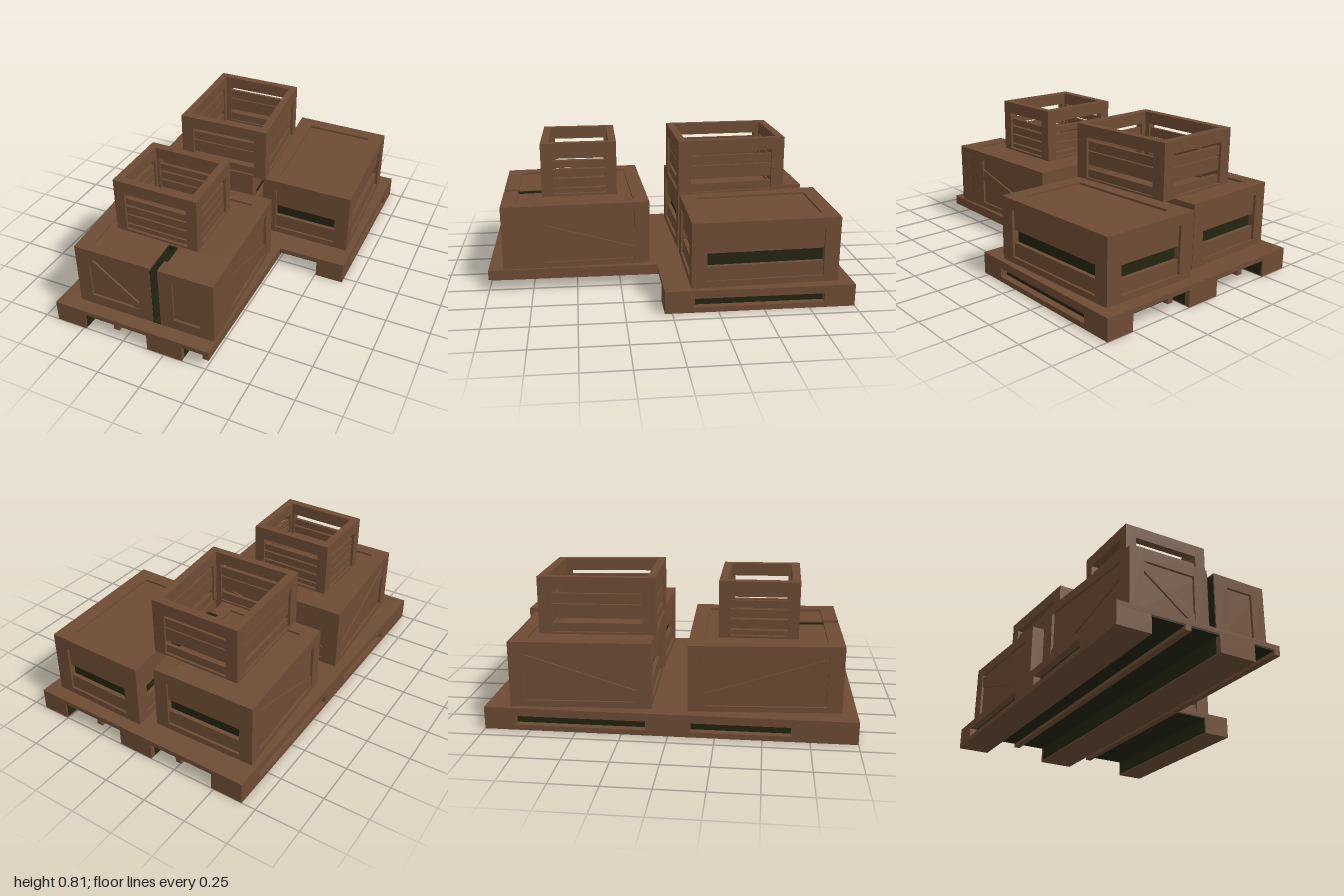
import * as THREE from 'three';

const wood = new THREE.MeshStandardMaterial({ color: 0x6e4c35 });
wood.name = 'brown wood';
const dark = new THREE.MeshStandardMaterial({ color: 0x23240f });
dark.name = 'dark gaps';

// Axis-aligned board given by its limits
function board(parent, name, x0, x1, y0, y1, z0, z1, mat = wood) {
  const mesh = new THREE.Mesh(new THREE.BoxGeometry(x1 - x0, y1 - y0, z1 - z0), mat);
  mesh.position.set((x0 + x1) / 2, (y0 + y1) / 2, (z0 + z1) / 2);
  mesh.name = name;
  parent.add(mesh);
}

// Crate frame of reference: a slightly crooked footprint.
// corners: back left, back right, front right, front left as [x, z]
function crateTools(group, corners, y0, y1) {
  const [a, b, c, e] = corners;
  const w = c[0] - e[0], d = e[1] - a[1], h = y1 - y0;
  const place = (x, z, i) => {
    const u = x / w, v = z / d;
    return (a[i] * (1 - u) + b[i] * u) * (1 - v) + (e[i] * (1 - u) + c[i] * u) * v;
  };
  const add = (geo, name, mat) => {
    const g = geo.toNonIndexed(), p = g.attributes.position;
    for (let i = 0; i < p.count; i++) {
      const x = p.getX(i), z = p.getZ(i);
      p.setXYZ(i, place(x, z, 0), y0 + p.getY(i), place(x, z, 1));
    }
    g.computeVertexNormals();
    const mesh = new THREE.Mesh(g, mat);
    mesh.name = name;
    group.add(mesh);
  };
  const box = (name, x0, x1, b0, b1, z0, z1, mat = wood) =>
    add(new THREE.BoxGeometry(x1 - x0, b1 - b0, z1 - z0)
      .translate((x0 + x1) / 2, (b0 + b1) / 2, (z0 + z1) / 2), name, mat);
  // Board on a wall: s runs left to right seen from outside, t runs inwards,
  // rise shears the board into a diagonal. Sides: 0 front, 1 +x, 2 back, 3 -x
  const wall = (side, name, s0, s1, b0, b1, t0, t1, mat = wood, rise = 0) => {
    const geo = new THREE.BoxGeometry(s1 - s0, b1 - b0, t1 - t0)
      .translate((s0 + s1) / 2, (b0 + b1) / 2, -(t0 + t1) / 2);
    const p = geo.attributes.position;
    for (let i = 0; i < p.count; i++) {
      const s = p.getX(i), t = -p.getZ(i);
      const y = p.getY(i) + rise * (s - s0) / (s1 - s0);
      const [x, z] = [[s, d - t], [w - t, d - s], [w - s, t], [t, s]][side];
      p.setXYZ(i, x, y, z);
    }
    add(geo, name, mat);
  };
  return { w, d, h, box, wall, length: (side) => (side % 2 ? d : w) };
}

// Framed rectangle on one wall
function frame(k, side, s0, s1, post, bottom, top, t) {
  k.wall(side, 'cornerPost', s0, s0 + post, 0, k.h, 0, t);
  k.wall(side, 'cornerPost', s1 - post, s1, 0, k.h, 0, t);
  k.wall(side, 'bottomRail', s0 + post, s1 - post, 0, bottom, 0, t);
  k.wall(side, 'topRail', s0 + post, s1 - post, k.h - top, k.h, 0, t);
}

// Wall filling of a closed crate: a slit between planks, a diagonal brace, or plain
function fillWall(k, side, kind, post) {
  const L = k.length(side), s0 = post, s1 = L - post;
  if (kind === 'slit') {
    k.wall(side, 'darkSlit', s0, s1, 0.115, 0.19, 0.038, 0.042, dark);
    k.wall(side, 'lowerPlank', s0, s1, 0.01, 0.115, 0.014, 0.045);
    k.wall(side, 'upperPlank', s0, s1, 0.19, k.h - 0.03, 0.014, 0.045);
  } else if (kind === 'down') {
    k.wall(side, 'brace', s0, s1, k.h - 0.14, k.h - 0.07, 0.004, 0.02, wood, -k.h + 0.17);
  } else if (kind === 'up') {
    k.wall(side, 'brace', s0, s1, 0.03, 0.1, 0.004, 0.02, wood, k.h - 0.17);
  }
}

function lid(k, m) {
  const { w, d, h } = k;
  k.box('lidEdge', 0, m, h - 0.03, h, 0, d);
  k.box('lidEdge', w - m, w, h - 0.03, h, 0, d);
  k.box('lidEdge', m, w - m, h - 0.03, h, 0, m);
  k.box('lidEdge', m, w - m, h - 0.03, h, d - m, d);
}

function closedCrate(name, corners, y0, y1, kinds, post) {
  const g = new THREE.Group();
  g.name = name;
  const k = crateTools(g, corners, y0, y1);
  k.box('crateBody', 0.04, k.w - 0.04, 0, k.h - 0.012, 0.04, k.d - 0.04);
  kinds.forEach((kind, side) => {
    const L = k.length(side);
    frame(k, side, 0, L, post, 0.035, 0.06, 0.045);
    if (kind !== 'slit') k.wall(side, 'panel', post, L - post, 0.03, k.h - 0.05, 0.014, 0.045);
    fillWall(k, side, kind, post);
  });
  lid(k, 0.085);
  return g;
}

// Large front crate whose front is split by a narrow dark gap
function splitCrate(name, corners, y0, y1) {
  const g = new THREE.Group();
  g.name = name;
  const k = crateTools(g, corners, y0, y1), { w, d, h } = k;
  const gap0 = 0.455, gap1 = 0.5, depth = 0.23, m = 0.085;
  k.box('crateBody', 0.014, w - 0.014, 0, h - 0.012, 0.014, d - depth);
  for (const [a, b] of [[0, gap0], [gap1, w]]) {
    k.box('frontHalf', a + 0.014, b - 0.001, 0, h - 0.012, d - depth, d - 0.014);
    frame(k, 0, a, b, 0.08, 0.06, 0.06, 0.03);
    k.box('lidEdge', a, b, h - 0.03, h, d - m, d);
  }
  k.wall(0, 'frontBrace', 0.06, 0.38, 0.27, 0.33, 0.004, 0.02, wood, -0.24);
  k.box('gapFloor', gap0, gap1, 0, 0.006, d - depth, d, dark);
  k.box('gapBack', gap0, gap1, 0, h - 0.014, d - depth, d - depth + 0.006, dark);
  k.box('gapSide', gap0 - 0.001, gap0 + 0.004, 0, h - 0.014, d - depth, d - 0.002, dark);
  k.box('gapSide', gap1 - 0.004, gap1 + 0.001, 0, h - 0.014, d - depth, d - 0.002, dark);
  ['', 'down', 'down', 'up'].forEach((kind, side) => {
    if (!side) return;
    frame(k, side, 0, k.length(side), 0.085, 0.03, 0.05, 0.03);
    fillWall(k, side, kind, 0.085);
  });
  k.box('lidEdge', 0, m, h - 0.03, h, 0, d - m);
  k.box('lidEdge', w - m, w, h - 0.03, h, 0, d - m);
  k.box('lidEdge', m, w - m, h - 0.03, h, 0, m);
  return g;
}

// Open-topped slatted crate; slats are [bottom, top] heights
function openCrate(name, corners, y0, y1, post, slats) {
  const g = new THREE.Group();
  g.name = name;
  const k = crateTools(g, corners, y0, y1);
  for (let side = 0; side < 4; side++) {
    const L = k.length(side);
    frame(k, side, 0, L, post, 0.012, 0.07, 0.045);
    slats.forEach(([b, t]) => k.wall(side, 'slat', post, L - post, b, t, 0.014, 0.034));
  }
  return g;
}

function pallet() {
  const g = new THREE.Group();
  g.name = 'pallet';
  // L-shaped deck with a dark underside
  board(g, 'deck', -0.67, 0.27, 0.098, 0.125, -1, 1);
  board(g, 'deckWing', 0.27, 0.67, 0.098, 0.125, -1, 0.04);
  board(g, 'deckUnderside', -0.665, 0.265, 0.092, 0.098, -0.995, 0.995, dark);
  board(g, 'deckUnderside', 0.265, 0.665, 0.092, 0.098, -0.995, 0.035, dark);
  // Middle runner
  board(g, 'middleRunner', -0.1, 0.11, 0, 0.098, -1, 1);
  for (const x of [-0.103, 0.109])
    board(g, 'runnerSide', x, x + 0.004, 0.008, 0.094, -0.97, 0.97, dark);
  // Thin bearers
  board(g, 'bearer', -0.3, -0.265, 0.07, 0.098, -1, 1);
  board(g, 'bearer', 0.235, 0.27, 0.07, 0.098, -1, 1);
  // Outer runners with long slots
  const outer = (xOut, xIn, posts) => {
    const x0 = Math.min(xOut, xIn), x1 = Math.max(xOut, xIn), dir = Math.sign(xIn - xOut);
    const z0 = posts[0][0], z1 = posts[posts.length - 1][1];
    board(g, 'runnerFoot', x0, x1, 0, 0.03, z0, z1);
    board(g, 'runnerTop', x0, x1, 0.08, 0.098, z0, z1);
    for (const [a, b] of posts) board(g, 'runnerPost', x0, x1, 0.03, 0.08, a, b);
    const c = xOut + dir * 0.04;
    board(g, 'slotBack', Math.min(c, xIn), Math.max(c, xIn), 0.03, 0.08, z0 + 0.02, z1 - 0.02, dark);
    board(g, 'runnerInnerSide', xIn - 0.003, xIn + 0.003, 0.008, 0.094, z0 + 0.01, z1 - 0.01, dark);
  };
  outer(-0.67, -0.485, [[-1, -0.83], [-0.12, 0.12], [0.65, 1]]);
  outer(0.67, 0.505, [[-1, -0.83], [-0.12, 0.04]]);
  return g;
}

export function createModel() {
  const model = new THREE.Group();
  model.name = 'palletWithCrates';
  model.add(pallet());
  model.add(splitCrate('frontCrate',
    [[-0.615, 0.1], [0.225, 0.08], [0.262, 0.915], [-0.555, 0.92]], 0.125, 0.492));
  model.add(closedCrate('backRightCrate',
    [[-0.64, -0.86], [-0.045, -0.87], [0.02, -0.11], [-0.6, -0.095]], 0.125, 0.49,
    ['slit', 'slit', 'slit', 'down'], 0.08));
  model.add(closedCrate('backLeftCrate',
    [[0.025, -0.93], [0.605, -0.92], [0.637, -0.105], [0.09, -0.11]], 0.125, 0.49,
    ['slit', 'slit', 'slit', 'slit'], 0.085));
  model.add(openCrate('backOpenCrate',
    [[-0.47, -0.73], [0.05, -0.735], [0.107, -0.1], [-0.44, -0.09]], 0.488, 0.808, 0.075,
    [[0.012, 0.06], [0.088, 0.165], [0.172, 0.225]]));
  model.add(openCrate('frontOpenCrate',
    [[-0.44, 0.25], [0.045, 0.255], [0.062, 0.69], [-0.435, 0.68]], 0.49, 0.802, 0.062,
    [[0.015, 0.04], [0.05, 0.1], [0.11, 0.155], [0.166, 0.205]]));
  // Shadowed cleft under the back open crate
  board(model, 'darkCleft', -0.04, 0.015, 0.486, 0.494, -0.68, -0.28, dark);
  return model;
}
